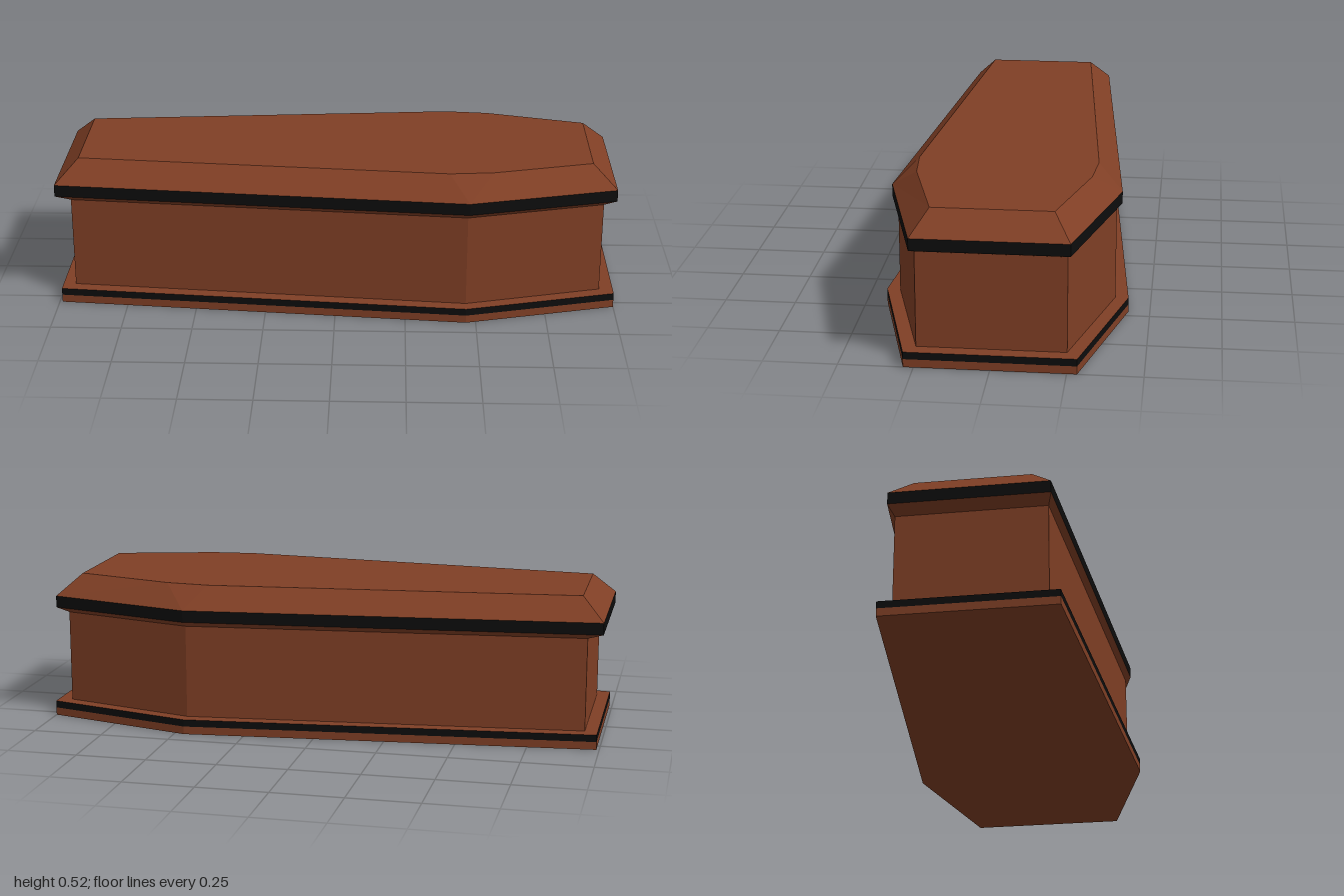
import * as THREE from 'three';

// Outline mirrored across z: front edge from foot to head, then back edge
const outline = (...front) => [
  ...front,
  ...front.map(([x, z]) => [x, -z]).reverse(),
];

// Six-sided plans; the shoulder is doubled so it can meet the chamfered lid top
const plan = (foot, shoulder, head) => outline(foot, shoulder, shoulder, head);
const BASE = plan([-0.99, 0.297], [0.465, 0.425], [1, 0.284]);
const BODY = plan([-0.945, 0.255], [0.465, 0.379], [0.95, 0.248]);
const RIM = plan([-1, 0.27], [0.47, 0.398], [0.995, 0.26]);
const TOP = outline([-0.92, 0.198], [0.4, 0.312], [0.555, 0.298], [0.91, 0.202]);

// Wall between two outlines, with optional flat caps
function loft(lower, y0, upper, y1, { bottom = false, top = false } = {}) {
  const pos = [];
  const lo = lower.map(([x, z]) => new THREE.Vector3(x, y0, z));
  const hi = upper.map(([x, z]) => new THREE.Vector3(x, y1, z));
  const tri = (a, b, c) => {
    if (a.equals(b) || b.equals(c) || c.equals(a)) return;
    for (const p of [a, b, c]) pos.push(p.x, p.y, p.z);
  };
  const n = lo.length;
  for (let i = 0; i < n; i++) {
    const j = (i + 1) % n;
    tri(lo[i], lo[j], hi[j]);
    tri(lo[i], hi[j], hi[i]);
  }
  for (let i = 1; i < n - 1; i++) {
    if (top) tri(hi[0], hi[i], hi[i + 1]);
    if (bottom) tri(lo[0], lo[i + 1], lo[i]);
  }
  const geo = new THREE.BufferGeometry();
  geo.setAttribute('position', new THREE.Float32BufferAttribute(pos, 3));
  geo.computeVertexNormals();
  return geo;
}

// Flat face looking up
function plate(ring, y) {
  const shape = new THREE.Shape(ring.map(([x, z]) => new THREE.Vector2(x, -z)));
  return new THREE.ShapeGeometry(shape).rotateX(-Math.PI / 2).translate(0, y, 0);
}

export function createModel() {
  const wood = new THREE.MeshStandardMaterial({ color: 0x803f25 });
  wood.name = 'brown wood';
  const black = new THREE.MeshStandardMaterial({ color: 0x0d0d0d });
  black.name = 'black trim';

  const model = new THREE.Group();
  model.name = 'coffin';
  const add = (name, geometry, material) => {
    const mesh = new THREE.Mesh(geometry, material);
    mesh.name = name;
    model.add(mesh);
  };

  // Plinth with a black band and a wooden ledge
  add('basePlinth', loft(BASE, 0, BASE, 0.028, { bottom: true }), wood);
  add('baseBand', loft(BASE, 0.028, BASE, 0.053), black);
  add('baseLedge', plate([BASE[0], BASE[1], BASE[3], BASE[4], BASE[5], BASE[7]], 0.053), wood);

  // Box walls
  add('body', loft(BODY, 0.053, BODY, 0.385), wood);

  // Lid: flared underside, black rim, bevelled top
  add('lidUnderside', loft(BODY, 0.385, RIM, 0.403), wood);
  add('lidBand', loft(RIM, 0.403, RIM, 0.445), black);
  add('lidTop', loft(RIM, 0.445, TOP, 0.523, { top: true }), wood);

  return model;
}
